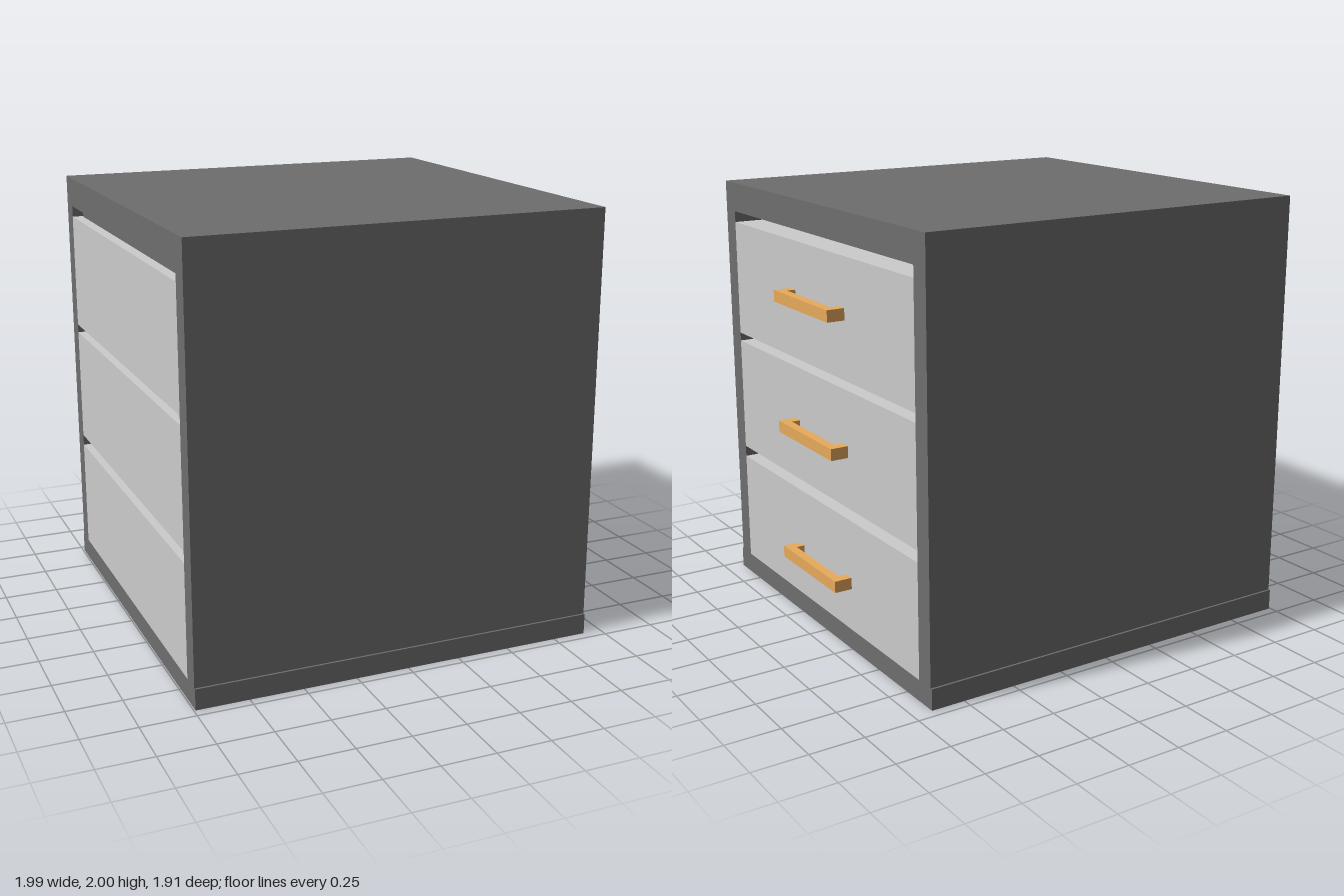
import * as THREE from 'three';

const dark = new THREE.MeshStandardMaterial({ color: 0x6e6e6e });
const light = new THREE.MeshStandardMaterial({ color: 0xcccccc });
const wood = new THREE.MeshStandardMaterial({ color: 0xe8aa5c });

const BACK = -0.993, FRONT = 0.91, TIP = 0.993;

// Box given by its minimum and maximum on each axis
function box(name, material, [x0, x1], [y0, y1], [z0, z1]) {
  const mesh = new THREE.Mesh(new THREE.BoxGeometry(x1 - x0, y1 - y0, z1 - z0), material);
  mesh.position.set((x0 + x1) / 2, (y0 + y1) / 2, (z0 + z1) / 2);
  mesh.name = name;
  return mesh;
}

// Bar handle on two posts
function createHandle(y) {
  const handle = new THREE.Group();
  handle.name = 'handle';
  const height = [y - 0.027, y + 0.027];
  handle.add(
    box('handleBar', wood, [0.95, TIP], height, [-0.262, 0.262]),
    box('handlePostLeft', wood, [FRONT, 0.95], height, [0.212, 0.262]),
    box('handlePostRight', wood, [FRONT, 0.95], height, [-0.262, -0.212]),
  );
  return handle;
}

export function createModel() {
  const model = new THREE.Group();
  model.name = 'drawerCabinet';
  const depth = [BACK, FRONT];

  // Carcass: plinth, side walls, top and a narrow inner back panel
  model.add(
    box('base', dark, depth, [0, 0.097], [-0.955, 0.955]),
    box('sideWall', dark, depth, [0.097, 1.862], [0.852, 0.945]),
    box('sideWall', dark, depth, [0.097, 1.862], [-0.945, -0.852]),
    box('top', dark, depth, [1.862, 2], [-0.945, 0.945]),
    box('backPanel', dark, [-0.945, -0.925], [0.097, 1.862], [-0.83, 0.852]),
  );

  // Drawers run the full depth, with a gap above each one
  const drawers = [
    { y: [0.097, 0.625], handleY: 0.325 },
    { y: [0.678, 1.223], handleY: 0.943 },
    { y: [1.263, 1.81], handleY: 1.558 },
  ];
  for (const { y, handleY } of drawers) {
    const drawer = new THREE.Group();
    drawer.name = 'drawer';
    drawer.add(box('drawerBody', light, depth, y, [-0.852, 0.852]), createHandle(handleY));
    model.add(drawer);
  }
  return model;
}
